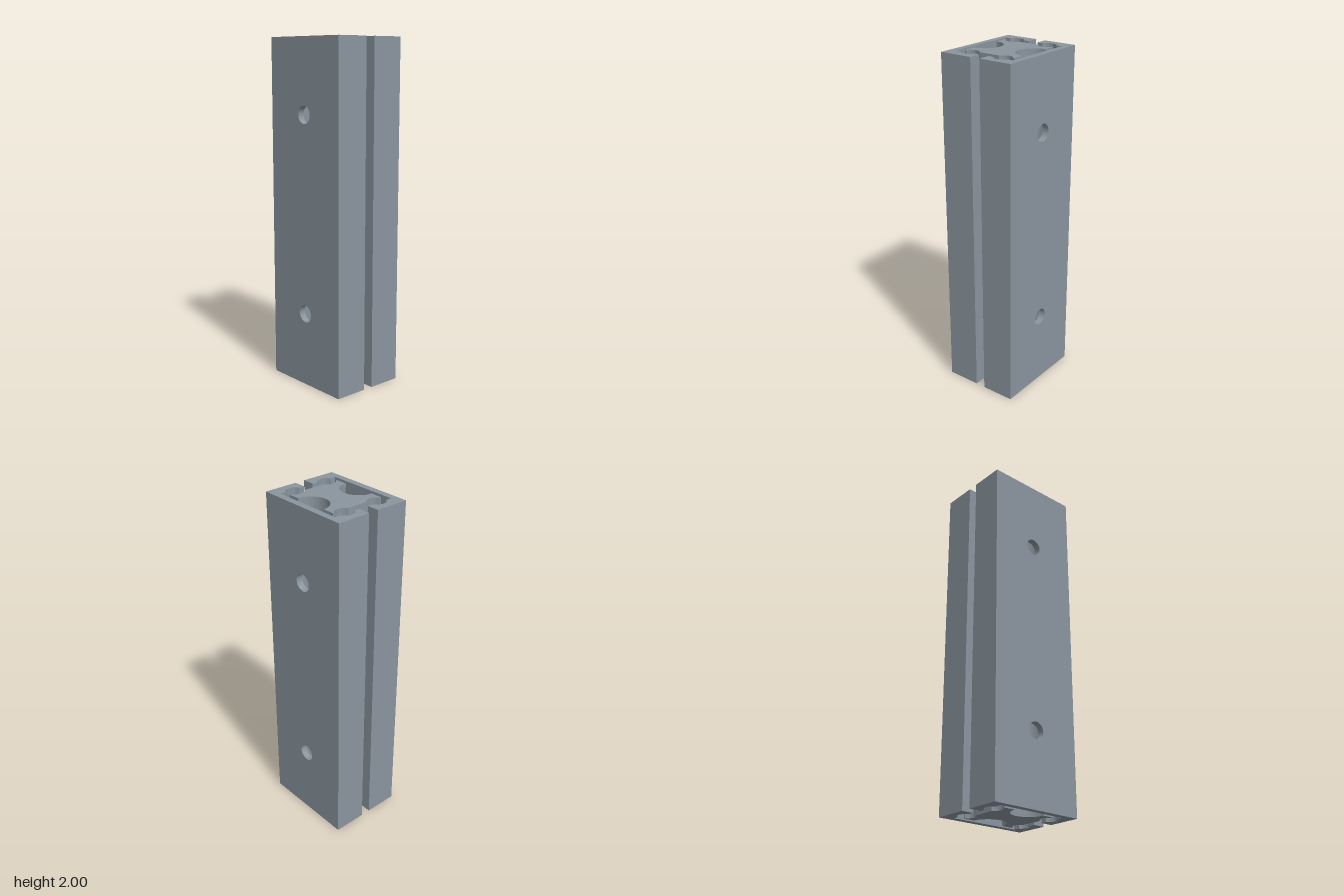
import * as THREE from 'three';
import { toCreasedNormals } from 'three/addons/utils/BufferGeometryUtils.js';

const H = 2, W = 0.287, D = 0.229;      // height, half width, half depth
const WALL = 0.215, WEB = 0.191;        // inner wall and inner web face
const CORE_X = 0.17, CORE_Z = 0.165;    // core half sizes
const GX = 0.1935, GZ = 0.11, GR = 0.0505; // ball groove centre and radius
const SCOOP = 0.1, HOLE = 0.05;
const HOLES = [0.43, 1.575];

const material = new THREE.MeshStandardMaterial({ color: 0x8a959e });
material.name = 'steel grey';

function arc(cx, cz, r, a0, a1, n) {
  return Array.from({ length: n + 1 }, (_, i) => {
    const a = a0 + ((a1 - a0) * i) / n;
    return [cx + r * Math.cos(a), cz + r * Math.sin(a)];
  });
}

function add(parent, name, geometry) {
  const mesh = new THREE.Mesh(toCreasedNormals(geometry, 0.5), material);
  mesh.name = name;
  parent.add(mesh);
  return mesh;
}

// Extrude an (x, z) outline up the full height
function upright(points, sx, sz) {
  const shape = new THREE.Shape(points.map(([x, z]) => new THREE.Vector2(x * sx, -z * sz)));
  return new THREE.ExtrudeGeometry(shape, { depth: H, bevelEnabled: false }).rotateX(-Math.PI / 2);
}

// Web plate between the flanges, with the two screw holes
function webPlate() {
  const shape = new THREE.Shape([[-WALL, 0], [WALL, 0], [WALL, H], [-WALL, H]].map(p => new THREE.Vector2(...p)));
  for (const y of HOLES) shape.holes.push(new THREE.Path().absarc(0, y, HOLE, 0, Math.PI * 2, true));
  return new THREE.ExtrudeGeometry(shape, { depth: D - WEB, bevelEnabled: false, curveSegments: 32 });
}

// Middle strip of the core, between two edges given as functions of x
function coreStrip(lower, upper) {
  const g = new THREE.BoxGeometry(1, 1, 1, 24, 1, 1);
  g.setIndex(Array.from(g.index.array).slice(12)); // drop the buried side faces
  g.clearGroups();
  const p = g.attributes.position;
  for (let i = 0; i < p.count; i++) {
    const x = -HOLE * Math.cos(Math.PI * (p.getX(i) + 0.5));
    const z = CORE_Z - Math.sqrt(SCOOP * SCOOP - x * x);
    p.setXYZ(i, x, p.getY(i) > 0 ? upper(x) : lower(x), Math.sign(p.getZ(i)) * z);
  }
  return g;
}

export function createModel() {
  const model = new THREE.Group();
  model.name = 'slideRail';

  // Channel-shaped outer rails
  const ga = Math.acos((WALL - GX) / GR);
  const flange = [[W, 0.03], [W, D], [WALL, D], ...arc(GX, GZ, GR, ga, -ga, 20), [WALL, 0.03]];
  for (const [name, sz] of [['frontRail', 1], ['backRail', -1]]) {
    const rail = new THREE.Group();
    rail.name = name;
    model.add(rail);
    add(rail, 'leftFlange', upright(flange, 1, sz));
    add(rail, 'rightFlange', upright(flange, -1, sz));
    add(rail, 'web', webPlate()).position.z = sz > 0 ? WEB : -D;
  }

  // Core with scooped faces and ball grooves
  const core = new THREE.Group();
  core.name = 'core';
  model.add(core);
  const gb = Math.acos((CORE_X - GX) / GR);
  const half = [
    ...arc(0, CORE_Z, SCOOP, -Math.PI / 3, 0, 16),
    [CORE_X, CORE_Z],
    ...arc(GX, GZ, GR, gb, Math.PI * 2 - gb, 20),
  ];
  const side = [...half, ...half.map(([x, z]) => [x, -z]).reverse()];
  add(core, 'coreLeftSide', upright(side, 1, 1));
  add(core, 'coreRightSide', upright(side, -1, 1));

  // Middle strips stop at the screw holes, which run right through
  const rise = x => Math.sqrt(Math.max(0, HOLE * HOLE - x * x));
  const [a, b] = HOLES;
  add(core, 'coreLowerMiddle', coreStrip(() => 0, x => a - rise(x)));
  add(core, 'coreCentre', coreStrip(x => a + rise(x), x => b - rise(x)));
  add(core, 'coreUpperMiddle', coreStrip(x => b + rise(x), () => H));

  return model;
}
